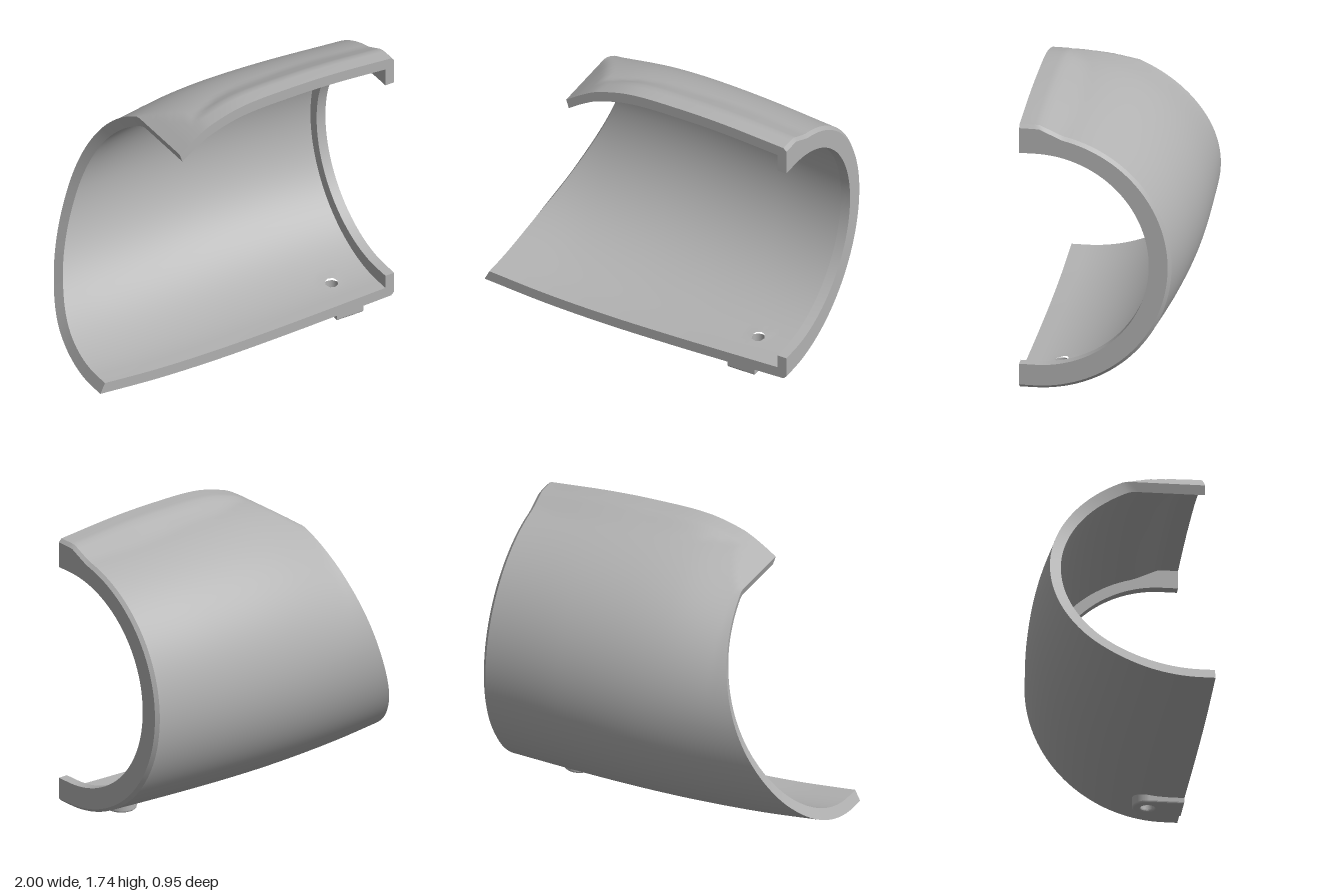
import * as THREE from 'three';

const CUT_Z = 0.475, MID_Z = 0.39, MID_Y = 0.86;
const HOLE = { x: 0.7, z: 0.27, r: 0.04 };
const ARC = 72, LENGTH = 56;

// piecewise curve through [input, output] pairs, smoothed and clamped at the ends
function curve(pts) {
  return (v) => {
    const n = pts.length - 1;
    if (v <= pts[0][0]) return pts[0][1];
    if (v >= pts[n][0]) return pts[n][1];
    let i = 0;
    while (v > pts[i + 1][0]) i++;
    const slope = (k) => {
      const a = pts[Math.max(k - 1, 0)], b = pts[Math.min(k + 1, n)];
      return (b[1] - a[1]) / (b[0] - a[0]);
    };
    const h = pts[i + 1][0] - pts[i][0], t = (v - pts[i][0]) / h, t2 = t * t, t3 = t2 * t;
    return (2 * t3 - 3 * t2 + 1) * pts[i][1] + (t3 - 2 * t2 + t) * h * slope(i)
      + (3 * t2 - 2 * t3) * pts[i + 1][1] + (t3 - t2) * h * slope(i + 1);
  };
}

const crest = curve([[-0.46, 1.54], [-0.36, 1.61], [-0.25, 1.67], [-0.03, 1.727], [0.3, 1.74], [0.6, 1.733], [0.98, 1.705]]);
const bottom = curve([[-1, 0.06], [-0.6, 0.03], [-0.2, 0.02], [0.2, 0.025], [0.6, 0.037], [0.98, 0.05]]);
const depth = curve([[-1, 0.815], [-0.65, 0.84], [0, 0.867], [0.5, 0.851], [0.98, 0.806]]);
const topRadius = curve([[-0.46, 0.76], [-0.1, 0.82], [0.3, 0.83], [0.98, 0.8]]);
const mouth = curve([[0.06, -1], [0.2, -0.945], [0.4, -0.845], [0.8, -0.67], [1.2, -0.54], [1.54, -0.46], [1.75, -0.42]]);

// angle around the half ring; both ends have a short straight run to the cut plane
const angle = (j) => (Math.PI * THREE.MathUtils.clamp(j - 1, 0, ARC)) / ARC;
const atCut = (j) => j === 0 || j === ARC + 2;

// point of the shell at length x, moved inward by inset
function shellPoint(x, j, inset) {
  const a = angle(j), c = Math.cos(a);
  const z = atCut(j) ? CUT_Z : MID_Z - (depth(x) - inset) * Math.sin(a);
  const ry = (c > 0 ? topRadius(x) : MID_Y - bottom(x)) - inset;
  let y = MID_Y + ry * c;
  if (c > 0) {
    const t = crest(x) - inset;
    if (t < MID_Y + ry) y = Math.min(y, t);
    else if (z > 0.05) y = Math.max(y, t - 0.46 * Math.max(0, 0.36 - z));
  }
  return new THREE.Vector3(x, y, z);
}

// where the slanted mouth meets the shell
function mouthX(j, inset) {
  let x = -0.6;
  for (let k = 0; k < 25; k++) {
    const y = shellPoint(x, j, inset).y;
    x = mouth(y) + (inset > 0 ? 0.005 + 0.025 * y / 1.5 : 0);
  }
  return x;
}

function ring(fn) {
  return Array.from({ length: ARC + 3 }, (_, j) => fn(j));
}

function wall(inset, endX) {
  const starts = ring((j) => mouthX(j, inset));
  return Array.from({ length: LENGTH + 1 }, (_, i) =>
    ring((j) => shellPoint(THREE.MathUtils.lerp(starts[j], endX, i / LENGTH), j, inset)));
}

// opens an eight-sided hole by fitting the neighbours of one grid point to a circle
function openHole(rows) {
  let best = Infinity, hi = 0, hj = 0;
  rows.forEach((row, i) => row.forEach((p, j) => {
    const d = Math.hypot(p.x - HOLE.x, p.z - HOLE.z);
    if (p.y < 0.5 && d < best) { best = d; hi = i; hj = j; }
  }));
  const along = Math.sign(rows[hi + 1][hj].x - rows[hi][hj].x);
  for (let di = -1; di <= 1; di++) for (let dj = -1; dj <= 1; dj++) {
    if (!di && !dj) continue;
    const p = rows[hi + di][hj + dj], a = Math.atan2(dj, di * along);
    p.x = HOLE.x + HOLE.r * Math.cos(a);
    p.z = HOLE.z + HOLE.r * Math.sin(a);
  }
  return (i, j) => (i === hi || i === hi - 1) && (j === hj || j === hj - 1);
}

// surface through successive rows of points
function loft(rows, skip = () => false) {
  const n = rows[0].length, index = [];
  for (let i = 0; i < rows.length - 1; i++) for (let j = 0; j < n - 1; j++) {
    if (skip(i, j)) continue;
    const a = i * n + j, b = a + n;
    index.push(a, b, b + 1, a, b + 1, a + 1);
  }
  const g = new THREE.BufferGeometry().setFromPoints(rows.flat());
  g.setIndex(index);
  g.computeVertexNormals();
  return g;
}

export function createModel() {
  const grey = new THREE.MeshStandardMaterial({ color: 0xb2b2b2 });
  grey.name = 'grey';
  const greyOpen = grey;
  const group = new THREE.Group();
  group.name = 'halfShell';
  const add = (name, geometry) => {
    const m = new THREE.Mesh(geometry, greyOpen);
    m.name = name;
    group.add(m);
  };

  // curved walls
  const outer = wall(0, 0.98), inner = wall(0.067, 0.94).reverse();
  const skipOuter = openHole(outer), skipInner = openHole(inner);
  add('outerWall', loft(outer, skipOuter));
  add('innerWall', loft(inner, skipInner));

  // end flange with a chamfered rim
  const lip = (x) => ring((j) => new THREE.Vector3(x, 0.865 + 0.665 * Math.cos(angle(j)),
    atCut(j) ? CUT_Z : 0.38 - 0.665 * Math.sin(angle(j))));
  const rim = ring((j) => shellPoint(0.98, j, 0.02).setX(1));
  const lipEnd = lip(1), lipBack = lip(0.94);
  add('rimChamfer', loft([outer[LENGTH], rim]));
  add('flangeFace', loft([rim, lipEnd]));
  add('flangeBore', loft([lipEnd, lipBack]));
  add('flangeBack', loft([lipBack, inner[0]]));
  add('mouthEdge', loft([inner[LENGTH], outer[0]]));

  // flat cut faces along the top and bottom
  const outline = [...outer, rim, lipEnd, lipBack, ...inner];
  [['topCutFace', 0], ['bottomCutFace', ARC + 2]].forEach(([name, j]) => {
    const shape = new THREE.Shape(outline.map((row) => new THREE.Vector2(row[j].x, row[j].y)));
    add(name, new THREE.ShapeGeometry(shape).translate(0, 0, CUT_Z));
  });

  // rounded mounting pad under the shell
  const pad = new THREE.Shape();
  pad.moveTo(0.61, -CUT_Z);
  pad.lineTo(0.79, -CUT_Z);
  pad.lineTo(0.79, -0.27);
  pad.absarc(HOLE.x, -HOLE.z, 0.09, 0, Math.PI, false);
  pad.closePath();
  const bore = new THREE.Path();
  bore.absarc(HOLE.x, -HOLE.z, HOLE.r, 0, Math.PI * 2, true);
  pad.holes.push(bore);
  const padGeo = new THREE.ExtrudeGeometry(pad, {
    depth: 0.055, curveSegments: 20, bevelSize: 0.012, bevelOffset: -0.012, bevelThickness: 0.012, bevelSegments: 3,
  });
  add('mountingPad', padGeo.rotateX(-Math.PI / 2).translate(0, 0.012, 0));

  // lining of the screw hole, facing inward
  const lining = new THREE.CylinderGeometry(HOLE.r, HOLE.r, 0.07, 24, 1, true);
  lining.scale(-1, 1, 1);
  const idx = lining.index.array;
  const normals = lining.attributes.normal;
  for (let i = 0; i < normals.count; i++) normals.setXYZ(i, -normals.getX(i), 0, -normals.getZ(i));
  lining.setIndex(Array.from(idx));
  add('holeLining', lining.translate(HOLE.x, 0.075, HOLE.z));

  return group;
}
